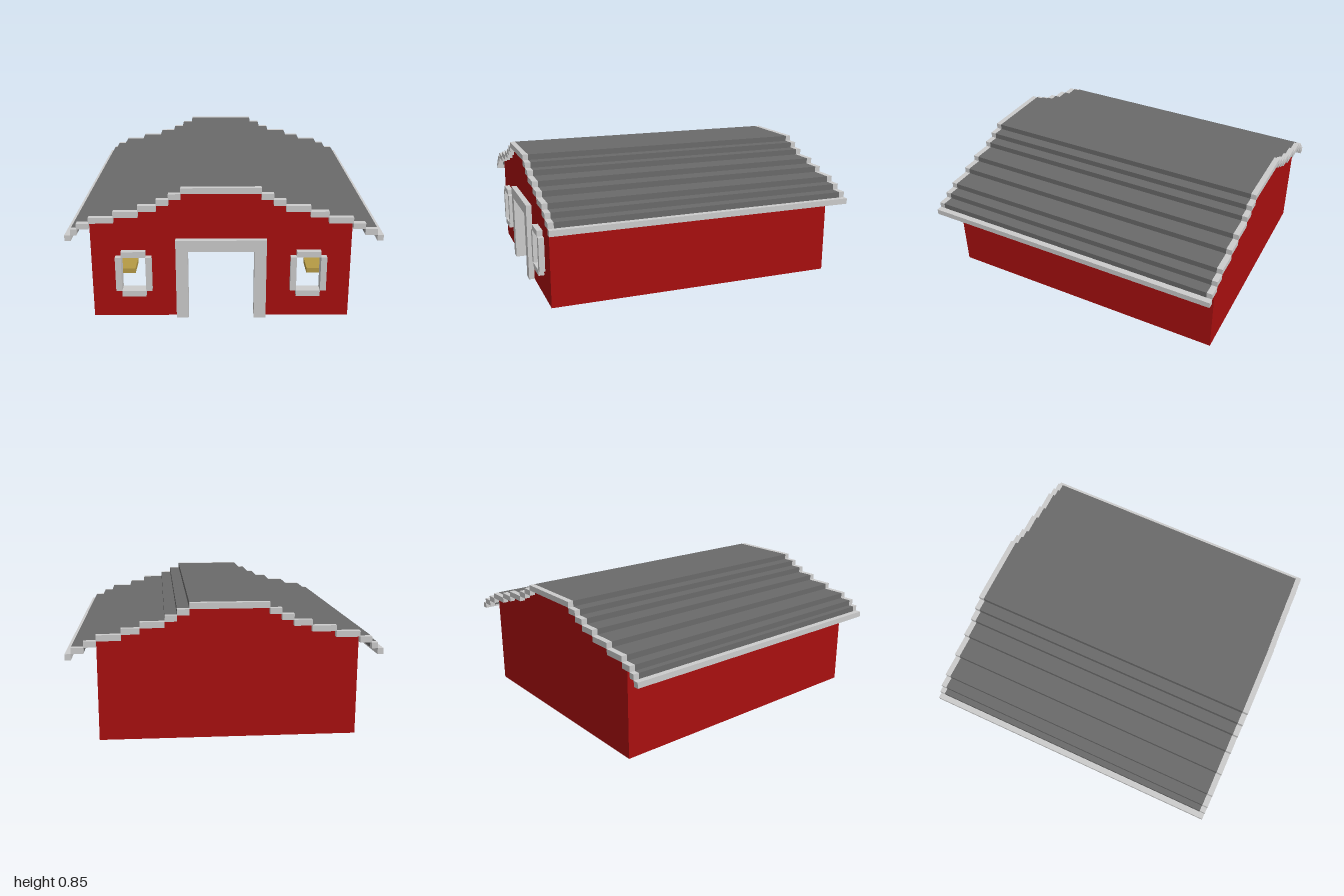
import * as THREE from 'three';

const U = 1 / 27; // size of one building cell
const mat = (color) => new THREE.MeshStandardMaterial({ color, flatShading: true });

export function createModel() {
  const group = new THREE.Group();
  const red = mat(0xa80f0f), grey = mat(0xcccccc), dark = mat(0x6a6a6a), straw = mat(0xb59a45);

  // Box between cell corners: x from the roof's right edge (0-52), y from the ground, z from -27 to 27
  function box(parent, name, material, x0, x1, y0, y1, z0, z1) {
    const mesh = new THREE.Mesh(
      new THREE.BoxGeometry((x1 - x0) * U, (y1 - y0) * U, (z1 - z0) * U), material);
    mesh.position.set(((x0 + x1) / 2 - 26) * U, ((y0 + y1) / 2) * U, ((z0 + z1) / 2) * U);
    mesh.name = name;
    parent.add(mesh);
  }
  function part(name) {
    const g = new THREE.Group();
    g.name = name;
    group.add(g);
    return g;
  }

  // Roof steps: [x start, x end, underside height]
  const steps = [
    [0, 1, 14], [1, 2, 15], [2, 4, 16], [4, 8, 17], [8, 12, 18], [12, 15, 19], [15, 17, 20],
    [17, 19, 21], [19, 32, 22], [32, 34, 21], [34, 36, 20], [36, 40, 19], [40, 43, 18],
    [43, 47, 17], [47, 49, 16], [49, 51, 15], [51, 52, 14],
  ];
  const roof = part('roof');
  for (const [a, b, y] of steps) {
    box(roof, 'roofStep', y === 14 ? grey : dark, a, b, y, y + 1, -26, 26);
    box(roof, 'frontRoofTrim', grey, a, b, y, y + 1, 26, 27);
    box(roof, 'backRoofTrim', grey, a, b, y, y + 1, -27, -26);
  }

  // Gable walls follow the underside of the roof
  const windows = [8, 37];
  function gable(name, z, hasOpenings) {
    const pts = [[47, 0]];
    for (const [a, b, y] of steps.slice(3, -3).reverse()) pts.push([b, y], [a, y]);
    pts.push([4, 0]);
    if (hasOpenings) pts.push([18, 0], [18, 14], [33, 14], [33, 0]);
    const toVec = ([x, y]) => new THREE.Vector2((x - 26) * U, y * U);
    const shape = new THREE.Shape(pts.map(toVec));
    if (hasOpenings) {
      for (const x of windows) {
        // Cross-cornered hole that takes the window frame
        shape.holes.push(new THREE.Path([
          [x, 5], [x, 11], [x + 1, 11], [x + 1, 12], [x + 5, 12], [x + 5, 11],
          [x + 6, 11], [x + 6, 5], [x + 5, 5], [x + 5, 4], [x + 1, 4], [x + 1, 5],
        ].map(toVec)));
      }
    }
    const mesh = new THREE.Mesh(
      new THREE.ExtrudeGeometry(shape, { depth: U, bevelEnabled: false }), red);
    mesh.position.z = z * U;
    mesh.name = name;
    group.add(mesh);
  }
  gable('frontWall', 25, true);
  gable('backWall', -26, false);

  // Side walls
  box(group, 'rightWall', red, 4, 5, 0, 17, -25, 25);
  box(group, 'leftWall', red, 46, 47, 0, 17, -25, 25);

  // Door frame
  const door = part('doorFrame');
  box(door, 'rightPost', grey, 18, 20, 0, 12, 25, 27);
  box(door, 'leftPost', grey, 31, 33, 0, 12, 25, 27);
  box(door, 'lintel', grey, 18, 33, 12, 14, 25, 27);

  // Window frames with open corners
  for (const x of windows) {
    const frame = part('windowFrame');
    box(frame, 'sideBar', grey, x, x + 1, 5, 11, 25, 27);
    box(frame, 'sideBar', grey, x + 5, x + 6, 5, 11, 25, 27);
    box(frame, 'topBar', grey, x + 1, x + 5, 11, 12, 25, 27);
    box(frame, 'sill', grey, x + 1, x + 5, 4, 5, 25, 27);
  }

  // Straw beds along the side walls
  const beds = part('strawBeds');
  for (const x of [5, 42]) {
    for (const [z0, z1] of [[21, 25], [4, 9], [-15, -10]]) {
      box(beds, 'strawBed', straw, x, x + 4, 0, 1, z0, z1);
    }
  }
  box(beds, 'strawBed', straw, 6, 9, 0, 1, -25, -22);
  box(beds, 'strawBed', straw, 34, 37, 0, 1, -25, -22);

  // Low trough against the back wall
  const trough = part('trough');
  box(trough, 'troughBase', dark, 21, 32, 0, 1, -25, -22);
  box(trough, 'troughTop', dark, 20, 33, 1, 2, -25, -22);

  return group;
}
